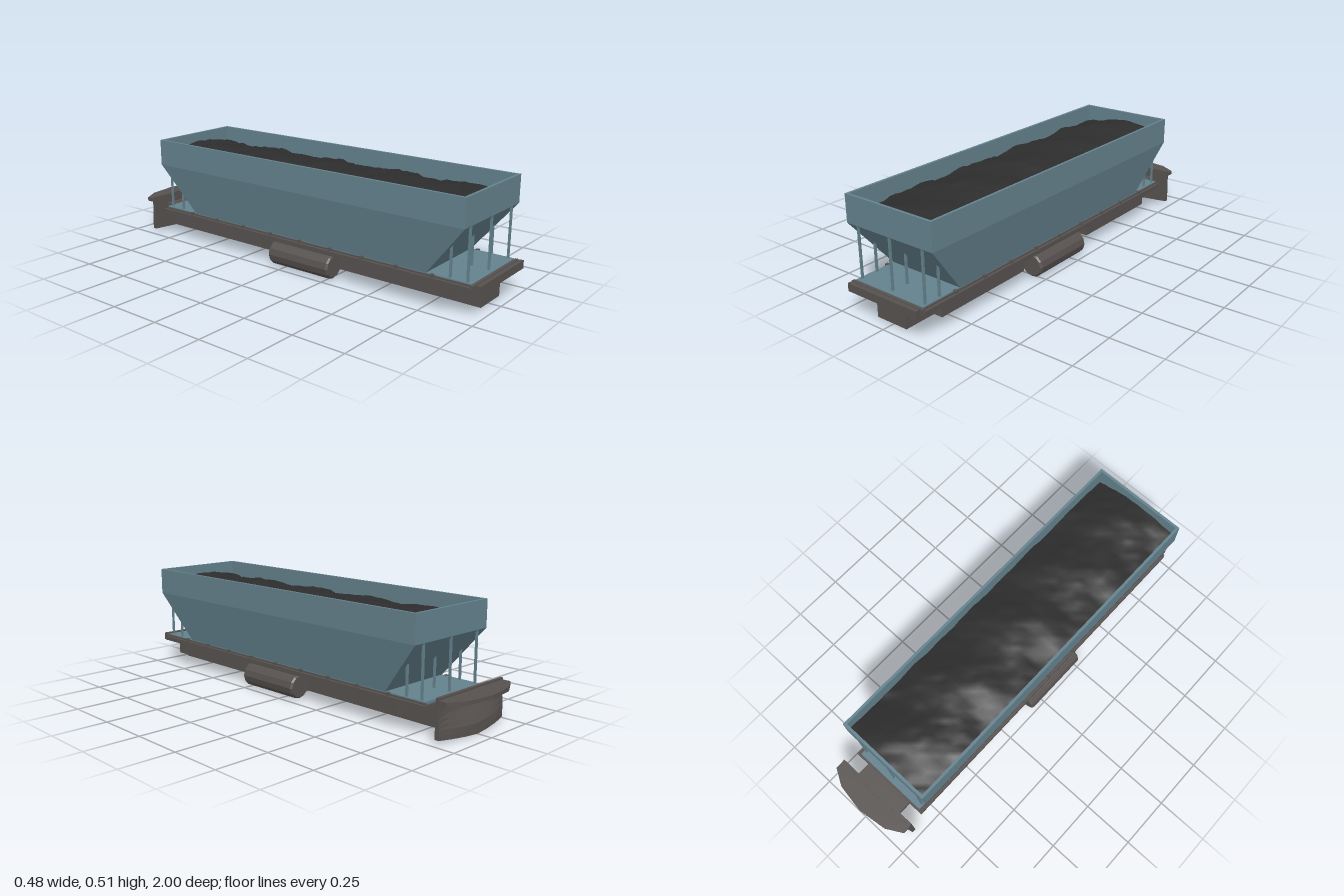
import * as THREE from 'three';

const mat = (name, color, extra = {}) => {
  const m = new THREE.MeshStandardMaterial({ color, ...extra });
  m.name = name;
  return m;
};

export function createModel() {
  const teal = mat('teal paint', 0x64828d);
  const grey = mat('chassis grey', 0x575250, { flatShading: true });
  const coal = mat('dark load', 0x2d2d2d);
  const root = new THREE.Group();
  root.name = 'hopperTrailer';

  const add = (name, geo, m) => {
    const mesh = new THREE.Mesh(geo, m);
    mesh.name = name;
    root.add(mesh);
    return mesh;
  };
  // box from its minimum and maximum corners
  const box = (name, m, x0, x1, y0, y1, z0, z1) => {
    const g = new THREE.BoxGeometry(x1 - x0, y1 - y0, z1 - z0);
    g.translate((x0 + x1) / 2, (y0 + y1) / 2, (z0 + z1) / 2);
    return add(name, g, m);
  };

  // hopper shell: rectangular rings [half width, y, back z, front z], outside up then inside down
  const rings = [
    [0.193, 0.15, -0.6, 0.75],
    [0.24, 0.385, -0.79, 0.94],
    [0.24, 0.512, -0.79, 0.94],
    [0.227, 0.512, -0.777, 0.927],
    [0.227, 0.385, -0.777, 0.927],
  ].map(([x, y, b, f]) => [[-x, y, f], [x, y, f], [x, y, b], [-x, y, b]]);
  const pos = [];
  for (let r = 0; r < rings.length - 1; r++) {
    for (let i = 0; i < 4; i++) {
      const j = (i + 1) % 4;
      const a = rings[r][i], b = rings[r][j], c = rings[r + 1][j], d = rings[r + 1][i];
      pos.push(...a, ...b, ...c, ...a, ...c, ...d);
    }
  }
  const shell = new THREE.BufferGeometry();
  shell.setAttribute('position', new THREE.Float32BufferAttribute(pos, 3));
  shell.computeVertexNormals();
  add('hopperShell', shell, teal);

  // lumpy load heaped along the middle
  const load = new THREE.PlaneGeometry(0.456, 1.706, 14, 56);
  load.rotateX(-Math.PI / 2);
  load.translate(0, 0, 0.075);
  let seed = 7;
  const rand = () => (seed = (seed * 16807) % 2147483647) / 2147483647;
  const p = load.attributes.position;
  for (let i = 0; i < p.count; i++) {
    const x = p.getX(i), z = p.getZ(i);
    const heap = Math.cos((x / 0.228) * Math.PI / 2) * 0.035;
    const waves = Math.sin(z * 17 + x * 9) * 0.006 + Math.sin(z * 31 - x * 22) * 0.004;
    p.setY(i, 0.432 + heap + waves + (rand() - 0.5) * 0.01);
  }
  load.computeVertexNormals();
  add('load', load, coal);

  // posts under the sloping hopper ends
  for (const x of [-0.18, 0, 0.18]) {
    for (const [z, top] of [[0.934, 0.387], [0.855, 0.29], [-0.784, 0.387], [-0.705, 0.29]]) {
      box('hopperPost', teal, x - 0.0045, x + 0.0045, 0.148, top, z - 0.0045, z + 0.0045);
    }
  }

  // deck and chassis
  box('deck', teal, -0.192, 0.192, 0.138, 0.15, -0.81, 0.958);
  box('deckFrame', grey, -0.21, 0.21, 0.118, 0.139, -0.82, 0.97);
  box('frontFrameRail', grey, -0.205, 0.205, 0.118, 0.147, 0.958, 0.972);
  box('frontBeam', grey, -0.195, 0.195, 0.113, 0.15, 0.98, 1.0);
  box('frontBeamMount', grey, -0.19, 0.19, 0.12, 0.14, 0.97, 0.982);
  box('centreBeam', grey, -0.083, 0.083, 0.01, 0.12, -0.885, 0.95);
  box('rearConnector', grey, -0.135, 0.135, 0.118, 0.142, -0.89, -0.82);

  // rounded-end tank profile, twelve sides
  const profile = [[0, -0.173], [0.05, -0.173], [0.057, -0.165], [0.057, 0.165], [0.05, 0.173], [0, 0.173]];
  const tank = new THREE.LatheGeometry(profile.map(([r, y]) => new THREE.Vector2(r, y)), 12);
  tank.rotateX(Math.PI / 2);

  for (const s of [-1, 1]) {
    const side = (name, a, b, ...rest) => box(name, grey, Math.min(s * a, s * b), Math.max(s * a, s * b), ...rest);
    side('sideBox', 0.13, 0.195, 0.063, 0.12, 0.34, 0.86);
    side('sideBox', 0.13, 0.195, 0.063, 0.12, -0.67, -0.15);
    side('deckEdge', 0.19, 0.197, 0.137, 0.146, -0.815, 0.965);
    for (let i = 0; i < 9; i++) {
      const z = 0.78 - i * 0.175;
      side('deckClip', 0.188, 0.205, 0.136, 0.152, z - 0.007, z + 0.007);
    }
    add('sideTank', tank, grey).position.set(s * 0.183, 0.06, 0.098);
  }

  // rear bumper panel: bowed outward and swelling toward its lower edge
  const panel = new THREE.BoxGeometry(0.44, 1, 1, 6, 8, 1);
  const q = panel.attributes.position;
  for (let i = 0; i < q.count; i++) {
    const x = q.getX(i), v = q.getY(i) + 0.5;
    const bow = 1 - (x / 0.22) ** 2;
    const low = 0.018 - 0.016 * (1 - Math.abs(x) / 0.22);
    const y = low + v * (0.19 - low);
    const swell = THREE.MathUtils.clamp((0.13 - y) / 0.08, 0, 1);
    q.setXYZ(i, x, y, q.getZ(i) > 0 ? -0.883 : -0.897 - swell * (0.005 + 0.03 * bow));
  }
  panel.computeVertexNormals();
  add('rearBumperPanel', panel, grey);

  // bowed shelf on top of the bumper
  const outline = [[-0.22, 0.885], [0.22, 0.885], [0.22, 0.935], [0.14, 0.98], [0, 1], [-0.14, 0.98], [-0.22, 0.935]];
  const shelf = new THREE.ExtrudeGeometry(
    new THREE.Shape(outline.map(([x, y]) => new THREE.Vector2(x, y))),
    { depth: 0.018, bevelEnabled: false });
  shelf.rotateX(-Math.PI / 2);
  shelf.translate(0, 0.163, 0);
  add('rearBumperShelf', shelf, grey);

  return root;
}
